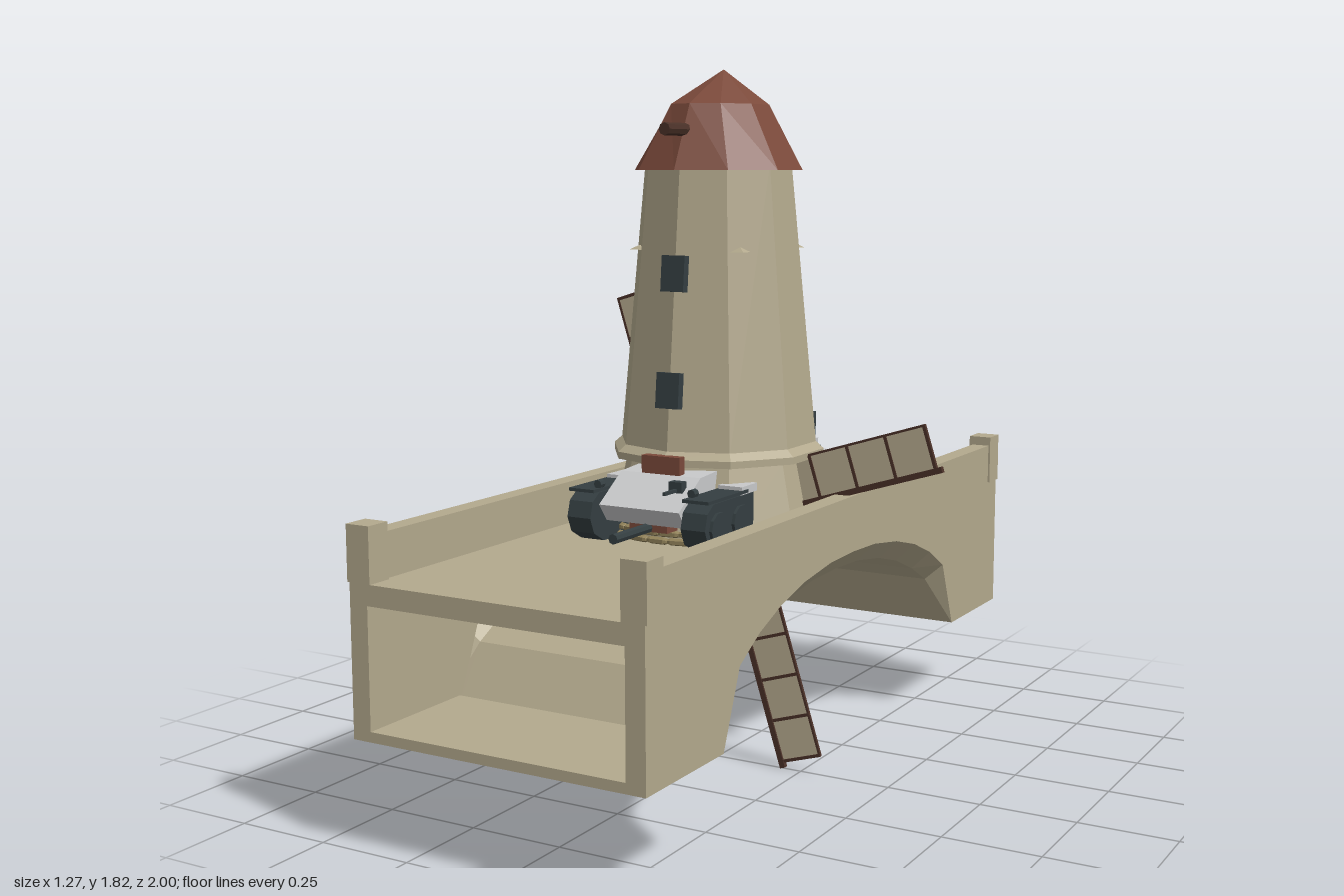
import * as THREE from 'three';

const mat = (name, color, side = THREE.FrontSide) =>
  Object.assign(new THREE.MeshStandardMaterial({ color, side, flatShading: true }), { name });

export function createModel() {
  const root = new THREE.Group();
  const stone = mat('stone', 0xb3a98d, THREE.DoubleSide);
  const tile = mat('roofTile', 0x7b4a3b, THREE.DoubleSide);
  const slate = mat('darkSlate', 0x343e41);
  const metal = mat('paleMetal', 0xc8c9ca);
  const wood = mat('darkWood', 0x4a3128);
  const cloth = mat('sailCloth', 0xb9ae92, THREE.DoubleSide);
  const sack = mat('sandbag', 0x8f8058);

  const add = (parent, name, geo, m, x = 0, y = 0, z = 0) => {
    const mesh = new THREE.Mesh(geo, m);
    mesh.name = name;
    mesh.position.set(x, y, z);
    parent.add(mesh);
    return mesh;
  };
  // Box given by its limits on each axis
  const box = (parent, name, m, x0, x1, y0, y1, z0, z1) =>
    add(parent, name, new THREE.BoxGeometry(x1 - x0, y1 - y0, z1 - z0), m,
      (x0 + x1) / 2, (y0 + y1) / 2, (z0 + z1) / 2);
  // Outline in [z, y], extruded from x0 to x1
  const slab = (parent, name, m, pts, x0, x1) => {
    const shape = new THREE.Shape(pts.map(([z, y]) => new THREE.Vector2(-z, y)));
    const geo = new THREE.ExtrudeGeometry(shape, { depth: x1 - x0, bevelEnabled: false });
    return add(parent, name, geo.rotateY(Math.PI / 2), m, x0);
  };
  const group = (name, parent = root) => {
    const g = new THREE.Group();
    g.name = name;
    parent.add(g);
    return g;
  };

  // Bridge: side walls, deck, footings and chamfered arch
  const bridge = group('bridge');
  const mirrorArc = half => [...half, ...half.slice(0, -1).reverse().map(([z, y]) => [-z, y])];
  const outer = mirrorArc([[-0.67, 0.27], [-0.595, 0.455], [-0.5, 0.51], [-0.39, 0.553], [-0.27, 0.583], [-0.13, 0.602], [0, 0.606]]);
  const inner = mirrorArc([[-0.67, 0.27], [-0.585, 0.41], [-0.49, 0.46], [-0.385, 0.502], [-0.265, 0.533], [-0.13, 0.552], [0, 0.556]]);
  const wallOutline = [[-1, 0.75], [-1, 0.27], ...outer, [1, 0.27], [1, 0.75]];
  slab(bridge, 'rightWall', stone, wallOutline, -0.395, -0.345);
  slab(bridge, 'leftWall', stone, wallOutline, 0.345, 0.395);
  box(bridge, 'deck', stone, -0.345, 0.345, 0.59, 0.64, -1, 1);
  for (const s of [-1, 1]) {
    box(bridge, 'footing', stone, -0.345, 0.345, 0.27, 0.295, s > 0 ? 0.67 : -1, s > 0 ? 1 : -0.67);
    for (const t of [-1, 1])
      add(bridge, 'cornerPost', new THREE.BoxGeometry(0.065, 0.135, 0.067), stone, s * 0.368, 0.7075, t * 0.9675);
  }
  const rows = [[-0.395, outer], [-0.345, inner], [0.345, inner], [0.395, outer]];
  const pos = [], index = [];
  rows.forEach(([x, arc], r) => arc.forEach(([z, y], i) => {
    pos.push(x, y, z);
    if (r < 3 && i < arc.length - 1) {
      const a = r * arc.length + i, b = a + arc.length;
      index.push(a, b, a + 1, b, b + 1, a + 1);
    }
  }));
  const arch = new THREE.BufferGeometry();
  arch.setAttribute('position', new THREE.Float32BufferAttribute(pos, 3));
  arch.setIndex(index);
  arch.computeVertexNormals();
  add(bridge, 'archSoffit', arch, stone);

  // Ten-sided tower
  const tower = group('tower');
  const drum = (name, m, rTop, rBottom, y0, y1, open = false) =>
    add(tower, name, new THREE.CylinderGeometry(rTop, rBottom, y1 - y0, 10, 1, open), m, 0, (y0 + y1) / 2, 0);
  drum('towerBase', stone, 0.242, 0.285, 0.64, 0.83);
  drum('ledge', stone, 0.28, 0.28, 0.832, 0.85);
  drum('ledgeSlope', stone, 0.259, 0.28, 0.85, 0.868);
  drum('towerShaft', stone, 0.192, 0.26, 0.86, 1.58);
  const towerRadius = y => 0.26 - (y - 0.86) * 0.0944;
  for (const y of [1.02, 1.31])
    add(tower, 'window', new THREE.BoxGeometry(0.066, 0.09, 0.022), slate, 0, y, towerRadius(y) + 0.001).rotation.x = -0.094;
  for (let i = 0; i < 4; i++) {
    const a = Math.PI / 4 + i * Math.PI / 2;
    const spur = add(tower, 'smallLedge', new THREE.ConeGeometry(0.026, 0.012, 4), stone,
      Math.sin(a) * 0.208, 1.37, Math.cos(a) * 0.208);
    spur.rotation.y = a;
  }

  // Faceted cap: a lathe whose upper rings narrow in x and lean back
  const capGeo = new THREE.LatheGeometry(
    [[0.18, 1.565], [0.22, 1.565], [0.155, 1.73], [0, 1.82]].map(p => new THREE.Vector2(...p)), 10);
  const p = capGeo.attributes.position;
  for (let i = 0; i < p.count; i++) {
    const y = p.getY(i);
    if (y > 1.7) p.setXYZ(i, p.getX(i) * 0.79, y, p.getZ(i) - (y > 1.8 ? 0.03 : 0.012));
  }
  capGeo.computeVertexNormals();
  add(tower, 'roofCap', capGeo, tile);
  add(tower, 'roofShaft', new THREE.CylinderGeometry(0.016, 0.016, 0.2, 8), wood, 0, 1.665, 0.165).rotation.x = Math.PI / 2;

  // Four sails around one hub
  const sails = group('sails');
  sails.position.set(0, 0.638, 0);
  for (let i = 0; i < 4; i++) {
    const sail = group('sail', sails);
    sail.rotation.z = 0.305 + i * Math.PI / 2;
    box(sail, 'spar', wood, 0, 0.665, -0.008, 0.007, -0.007, 0.007);
    box(sail, 'cloth', cloth, 0.09, 0.645, 0.005, 0.115, -0.002, 0.002);
    box(sail, 'outerRail', wood, 0.09, 0.65, 0.113, 0.119, -0.004, 0.004);
    for (let k = 0; k < 6; k++) {
      const u = 0.648 - k * 0.11;
      box(sail, 'crossBar', wood, u - 0.004, u + 0.004, 0, 0.118, -0.005, 0.005);
    }
  }

  // Two rows of sandbags curving around the front
  const bags = group('sandbags');
  const bagGeo = new THREE.CapsuleGeometry(0.011, 0.04, 2, 6).rotateZ(Math.PI / 2).scale(1, 0.85, 1.25);
  for (let row = 0; row < 2; row++)
    for (let i = 0; i < 15; i++) {
      const a = (i - 7 + row * 0.5) * 0.19;
      const r = 0.305 - row * 0.008;
      add(bags, 'sandbag', bagGeo, sack, Math.sin(a) * r, 0.65 + row * 0.018, Math.cos(a) * r).rotation.y = a;
    }

  // Tracked vehicle ends, front and back
  const vehicle = group('vehicle');
  slab(vehicle, 'frontHull', metal, [[0.15, 0.7], [0.36, 0.7], [0.395, 0.745], [0.29, 0.815], [0.15, 0.825]], -0.115, 0.115);
  box(vehicle, 'rearHull', metal, -0.13, 0.13, 0.695, 0.795, -0.39, -0.15);
  box(vehicle, 'rearDeck', metal, -0.115, 0.115, 0.795, 0.83, -0.36, -0.15);
  box(vehicle, 'rearGrille', slate, -0.1, 0.1, 0.73, 0.775, -0.395, -0.388);
  for (const s of [-1, 1]) {
    const x0 = s > 0 ? 0.13 : -0.198, x1 = x0 + 0.068;
    for (const e of [-1, 1]) {
      const belt = [[0.17, 0.645], [0.35, 0.645], [0.395, 0.67], [0.412, 0.71], [0.4, 0.75], [0.37, 0.77], [0.17, 0.77]];
      slab(vehicle, 'track', slate, belt.map(([z, y]) => [z * e, y]), x0, x1);
      const fender = e > 0 ? [0.15, 0.23] : [-0.3, -0.15];
      box(vehicle, 'fender', metal, x0, x1, 0.77, 0.79, ...fender);
      add(vehicle, 'axle', new THREE.CylinderGeometry(0.014, 0.014, 0.06, 6), slate, s * 0.12, 0.71, e * 0.33).rotation.z = Math.PI / 2;
      const guard = e > 0 ? [0.2, 0.4] : [-0.4, -0.2];
      box(vehicle, 'trackGuard', slate, x0 - 0.003, x1 + 0.003, 0.773, 0.781, ...guard);
      for (const z of [0.24, 0.35])
        add(vehicle, 'roadWheel', new THREE.CylinderGeometry(0.042, 0.042, 0.012, 10), slate, s * 0.2, 0.707, e * z).rotation.z = Math.PI / 2;
    }
    add(vehicle, 'headlamp', new THREE.CylinderGeometry(0.011, 0.011, 0.02, 8), slate, s * 0.135, 0.79, 0.36).rotation.x = Math.PI / 2;
    box(vehicle, 'rearLamp', slate, s * 0.1 - 0.009, s * 0.1 + 0.009, 0.79, 0.805, -0.39, -0.37);
  }
  add(vehicle, 'gunBarrel', new THREE.CylinderGeometry(0.013, 0.013, 0.16, 8), slate, 0, 0.69, 0.43).rotation.x = Math.PI / 2;
  box(vehicle, 'barrelMount', tile, -0.055, 0.055, 0.68, 0.7, 0.3, 0.35);
  box(vehicle, 'hatch', tile, -0.055, 0.055, 0.815, 0.86, 0.265, 0.29);
  box(vehicle, 'periscope', slate, 0.057, 0.093, 0.783, 0.81, 0.32, 0.345);
  box(vehicle, 'periscopeArm', slate, 0.072, 0.08, 0.785, 0.793, 0.345, 0.4);
  add(vehicle, 'exhaustStack', new THREE.CylinderGeometry(0.009, 0.009, 0.11, 8), slate, 0.09, 0.845, -0.375);

  return root;
}
